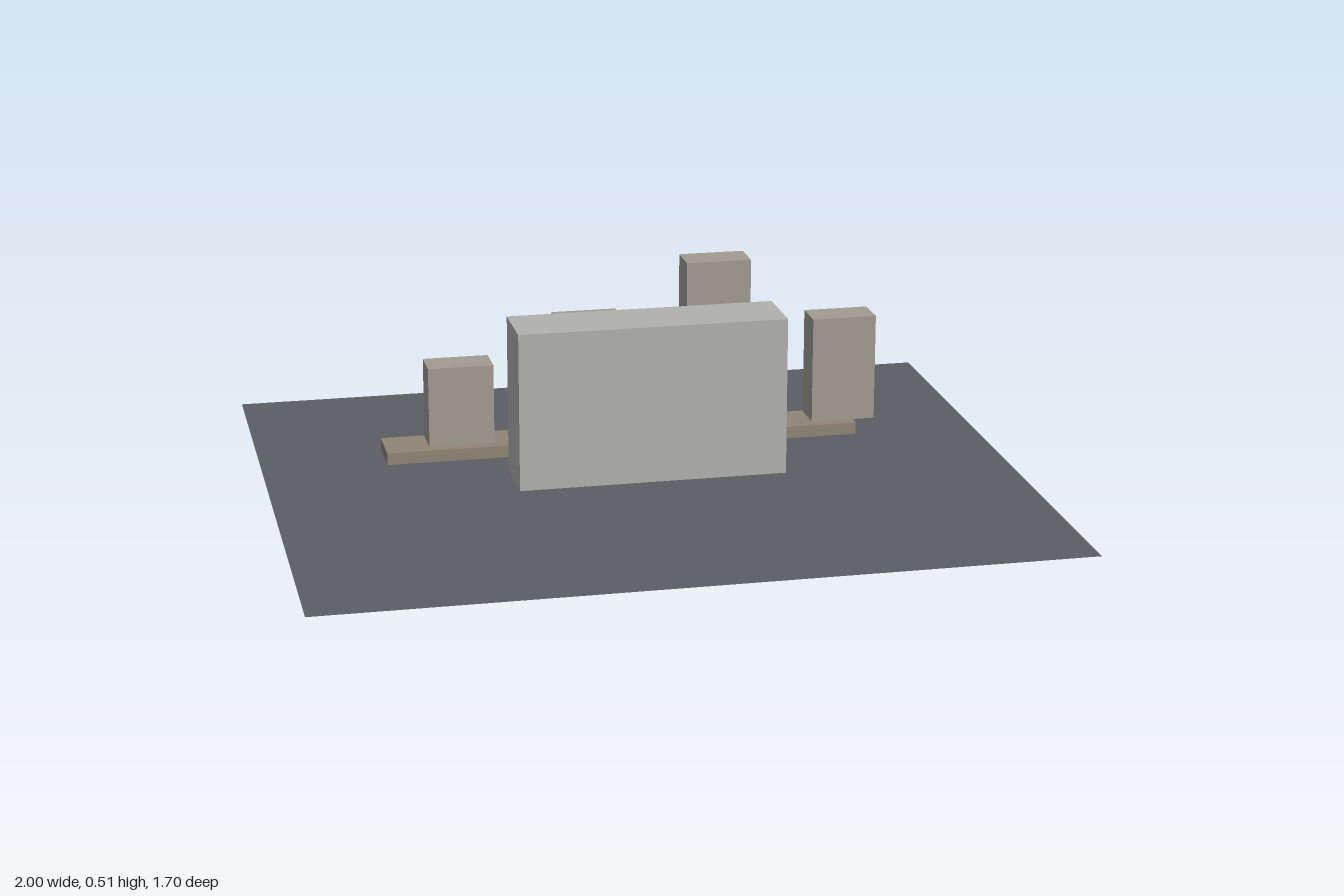
import * as THREE from 'three';

// Box spanning the given x, y and z ranges
function block(name, color, [x0, x1], [y0, y1], [z0, z1]) {
  const mesh = new THREE.Mesh(
    new THREE.BoxGeometry(x1 - x0, y1 - y0, z1 - z0),
    new THREE.MeshStandardMaterial({ color })
  );
  mesh.position.set((x0 + x1) / 2, (y0 + y1) / 2, (z0 + z1) / 2);
  mesh.name = name;
  return mesh;
}

export function createModel() {
  const model = new THREE.Group();
  model.name = 'blockScene';
  const deck = 0.034; // height the blocks start from

  // Flat ground sheet
  const ground = new THREE.Mesh(
    new THREE.PlaneGeometry(2, 1.7).rotateX(-Math.PI / 2),
    new THREE.MeshStandardMaterial({ color: 0x5a5e62, side: THREE.DoubleSide })
  );
  ground.name = 'ground';
  model.add(ground);

  // Main slab, hovering just above the ground
  model.add(block('mainSlab', 0xb0b0ac, [-0.36, 0.36], [deck, 0.461], [-0.02, 0.158]));

  // Long low plinth behind it
  model.add(block('plinth', 0x8f8576, [-0.66, 0.66], [0, 0.033], [-0.36, -0.223]));

  // Row of pillars of differing heights, the last overhanging the plinth end
  const pillars = new THREE.Group();
  pillars.name = 'pillars';
  [0.257, 0.369, 0.514, 0.332].forEach((top, i) => {
    const x = -0.54 + i * 0.36;
    pillars.add(block(`pillar${i + 1}`, 0xa09c90, [x, x + 0.18], [deck, top], [-0.35, -0.252]));
  });
  model.add(pillars);

  return model;
}
